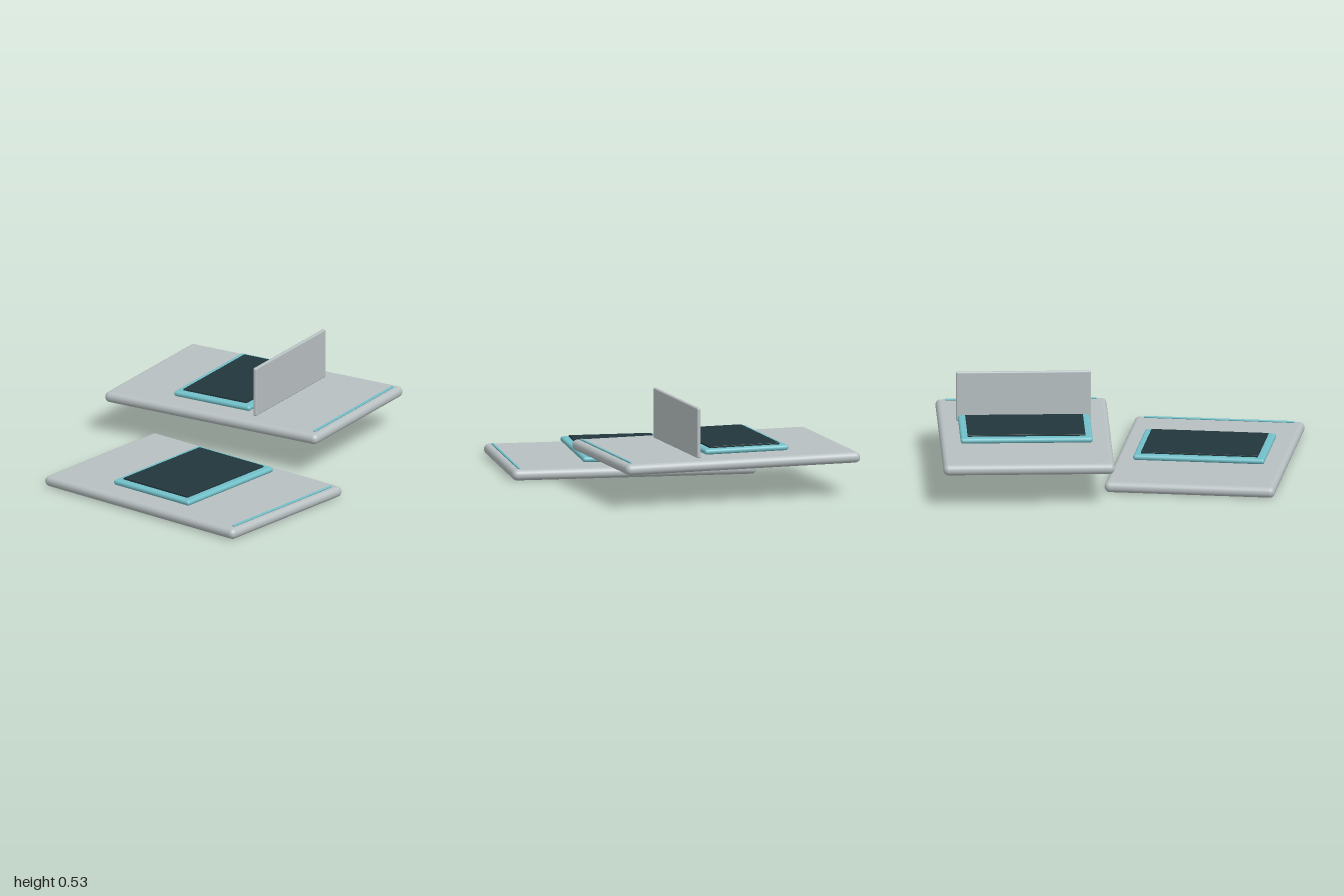
import * as THREE from 'three';
import { RoundedBoxGeometry } from 'three/addons/geometries/RoundedBoxGeometry.js';

function material(name, color) {
  const m = new THREE.MeshStandardMaterial({ color });
  m.name = name;
  return m;
}

export function createModel() {
  const grey = material('pale grey', 0xb8c0c2);
  const teal = material('teal', 0x72c0c9);
  const dark = material('dark slate', 0x22363c);

  // Rounded slab, placed by its bottom height
  function slab(parent, name, mat, [w, h, d], radius, y, z = 0) {
    const mesh = new THREE.Mesh(new RoundedBoxGeometry(w, h, d, 4, radius), mat);
    mesh.name = name;
    mesh.position.set(0, y + h / 2, z);
    parent.add(mesh);
  }

  // Board with a framed dark screen floating just above it and a thin strip at the front
  function tablet(name, frameDepth, screenZ) {
    const g = new THREE.Group();
    g.name = name;
    slab(g, 'board', grey, [0.945, 0.06, 1.37], 0.029, 0);
    slab(g, 'screenFrame', teal, [0.73, 0.03, frameDepth], 0.0145, 0.075, screenZ);
    slab(g, 'screen', dark, [0.65, 0.01, frameDepth - 0.083], 0.002, 0.105, screenZ);
    slab(g, 'frontStrip', teal, [0.835, 0.01, 0.014], 0.004, 0.059, 0.642);
    return g;
  }

  const model = new THREE.Group();
  model.name = 'panelPair';

  const lower = tablet('lowerTablet', 0.545, 0);
  lower.position.set(-0.528, 0, 0.213);

  const upper = tablet('upperTablet', 0.49, -0.054);
  upper.position.set(0.424, 0.188, -0.157);
  upper.rotation.y = 0.16;
  // Upright divider in front of the upper screen
  slab(upper, 'uprightPanel', grey, [0.746, 0.28, 0.022], 0.008, 0.06, 0.229);

  model.add(lower, upper);
  return model;
}
